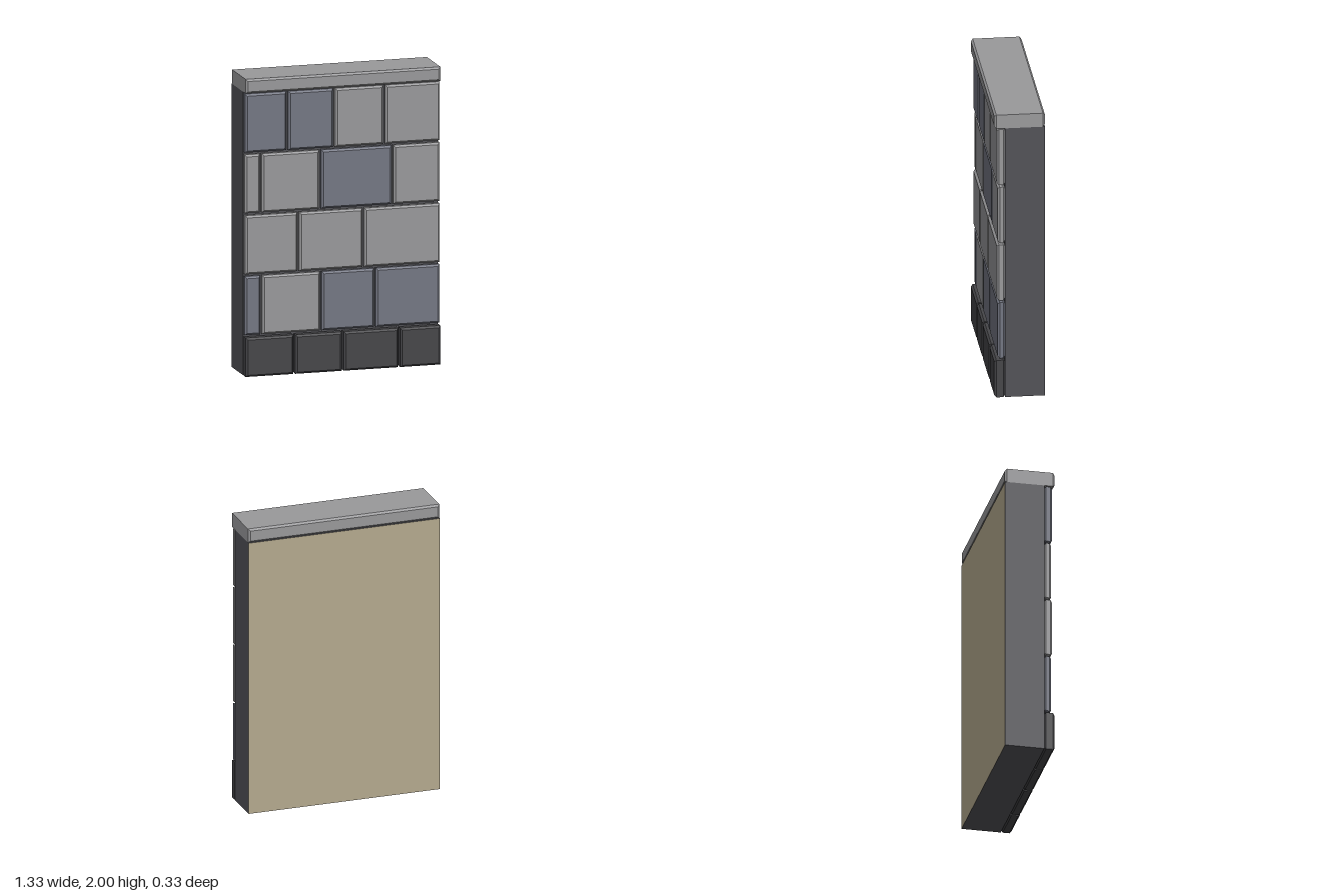
import * as THREE from 'three';

const material = (name, color) => {
  const m = new THREE.MeshStandardMaterial({ color });
  m.name = name;
  return m;
};

export function createModel() {
  const pale = material('pale stone', 0x99999b);
  const slate = material('slate stone', 0x747783);
  const plinth = material('dark plinth stone', 0x464649);
  const mortar = material('mortar', 0x525257);
  const plaster = material('tan plaster', 0xb5aa8f);

  const HALF = 0.667, BACK = -0.167, CORE_FRONT = 0.096;
  const BEVEL = 0.013, GAP = 0.014;
  const wall = new THREE.Group();
  wall.name = 'stoneWall';

  // Block with chamfered front and back rims
  function block(name, x0, x1, y0, y1, z0, z1, mat) {
    const shape = new THREE.Shape([
      new THREE.Vector2(x0, y0), new THREE.Vector2(x1, y0),
      new THREE.Vector2(x1, y1), new THREE.Vector2(x0, y1),
    ]);
    const geometry = new THREE.ExtrudeGeometry(shape, {
      depth: z1 - z0 - 2 * BEVEL, bevelEnabled: true, bevelSegments: 1,
      bevelSize: BEVEL, bevelThickness: BEVEL, bevelOffset: -BEVEL,
    });
    geometry.translate(0, 0, z0 + BEVEL);
    const mesh = new THREE.Mesh(geometry, mat);
    mesh.name = name;
    return mesh;
  }

  // Mortar core with a plastered back face
  const top = 1.904;
  const core = new THREE.Mesh(
    new THREE.BoxGeometry(2 * HALF, top, CORE_FRONT - BACK),
    [mortar, mortar, mortar, mortar, mortar, plaster]
  );
  core.name = 'wallCore';
  core.position.set(0, top / 2, (CORE_FRONT + BACK) / 2);
  wall.add(core);

  // Courses from the ground up: joint centres and stone colours
  const courses = [
    { name: 'plinthCourse', y: [0, 0.262], z: 0.167, joints: [-0.334, -0.003, 0.385], mats: [plinth, plinth, plinth, plinth] },
    { name: 'firstCourse', y: [0.276, 0.67], z: 0.145, joints: [-0.554, -0.146, 0.223], mats: [slate, pale, slate, slate] },
    { name: 'secondCourse', y: [0.685, 1.079], z: 0.15, joints: [-0.302, 0.143], mats: [pale, pale, pale] },
    { name: 'thirdCourse', y: [1.094, 1.488], z: 0.145, joints: [-0.557, -0.151, 0.345], mats: [pale, pale, slate, pale] },
    { name: 'fourthCourse', y: [1.503, 1.897], z: 0.15, joints: [-0.377, -0.058, 0.286], mats: [slate, slate, pale, pale] },
  ];
  for (const { name, y, z, joints, mats } of courses) {
    const course = new THREE.Group();
    course.name = name;
    mats.forEach((mat, i) => {
      const x0 = i === 0 ? -HALF : joints[i - 1] + GAP / 2;
      const x1 = i === joints.length ? HALF : joints[i] - GAP / 2;
      course.add(block('stone', x0, x1, y[0], y[1], CORE_FRONT, z, mat));
    });
    wall.add(course);
  }

  // Coping stone over the full thickness
  wall.add(block('coping', -HALF, HALF, top, 2, BACK, 0.167, pale));
  return wall;
}
